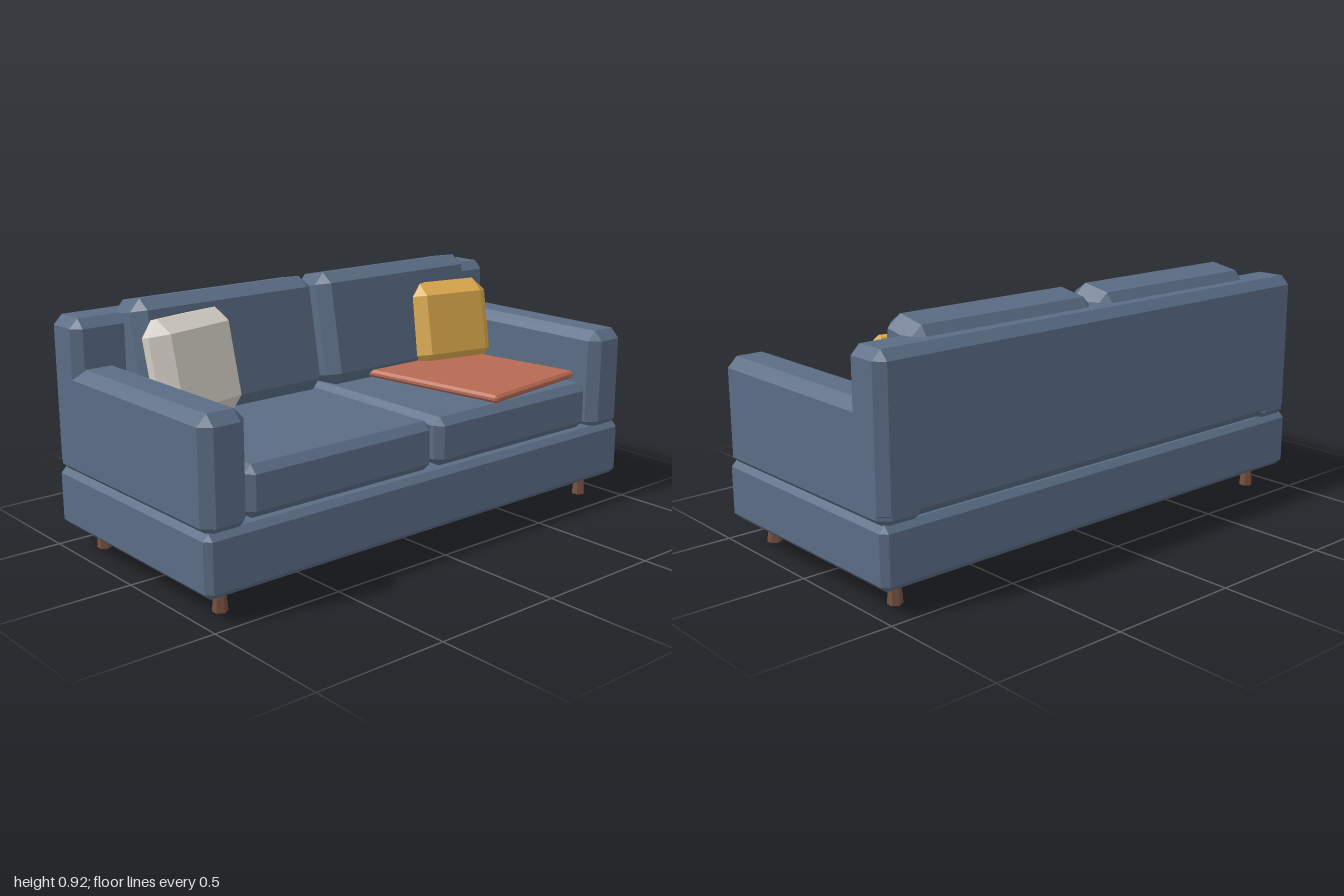
import * as THREE from 'three';
import { ConvexGeometry } from 'three/addons/geometries/ConvexGeometry.js';

const mat = (name, color) => new THREE.MeshStandardMaterial({ name, color, flatShading: true });

// Box with every edge and corner cut off by c
function chamferBox(w, h, d, c) {
  const half = [w / 2, h / 2, d / 2];
  const points = [];
  for (const sx of [-1, 1]) for (const sy of [-1, 1]) for (const sz of [-1, 1]) {
    const sign = [sx, sy, sz];
    for (let face = 0; face < 3; face++) {
      const p = half.map((v, i) => sign[i] * (i === face ? v : v - c));
      points.push(new THREE.Vector3(...p));
    }
  }
  return new ConvexGeometry(points);
}

export function createModel() {
  const model = new THREE.Group();
  model.name = 'sofa';

  const fabric = mat('blue fabric', 0x5a6c84);
  const cream = mat('cream fabric', 0xd5cfc6);
  const mustard = mat('mustard fabric', 0xd9a84c);
  const terracotta = mat('terracotta blanket', 0xb66a54);
  const wood = mat('brown wood', 0x744f3e);

  // Adds a chamfered block; tilt leans it back, yaw turns it
  function block(name, material, size, chamfer, position, tilt = 0, yaw = 0) {
    const mesh = new THREE.Mesh(chamferBox(...size, chamfer), material);
    mesh.name = name;
    mesh.position.set(...position);
    mesh.rotation.set(-tilt, yaw, 0, 'YXZ');
    model.add(mesh);
  }

  // Frame
  block('base', fabric, [2, 0.22, 0.94], 0.022, [0, 0.2, 0]);
  block('backrest', fabric, [2, 0.555, 0.175], 0.033, [0, 0.5875, -0.3825]);

  for (const s of [-1, 1]) {
    const side = s > 0 ? 'left' : 'right';
    block(side + 'Arm', fabric, [0.175, 0.4, 0.94], 0.037, [s * 0.9125, 0.49, 0]);

    // Cushions
    block(side + 'SeatCushion', fabric, [0.81, 0.18, 0.76], 0.028, [s * 0.415, 0.4, 0.067]);
    block(side + 'BackCushion', fabric, [0.79, 0.44, 0.2], 0.044, [s * 0.41, 0.693, -0.276], 0.18);

    // Six-sided legs, wider at the foot
    for (const f of [-1, 1]) {
      const leg = new THREE.Mesh(new THREE.CylinderGeometry(0.018, 0.027, 0.1, 6), wood);
      leg.name = side + (f > 0 ? 'FrontLeg' : 'BackLeg');
      leg.position.set(s * 0.888, 0.05, f * 0.367);
      model.add(leg);
    }
  }

  // Loose pillows and folded blanket
  block('creamPillow', cream, [0.4, 0.38, 0.14], 0.055, [-0.622, 0.675, -0.149], 0.2, 0.22);
  block('mustardPillow', mustard, [0.37, 0.35, 0.13], 0.055, [0.64, 0.66, -0.155], 0.2, -0.2);
  block('blanket', terracotta, [0.525, 0.03, 0.64], 0.01, [0.52, 0.51, 0.09], 0, 0.14);

  return model;
}
